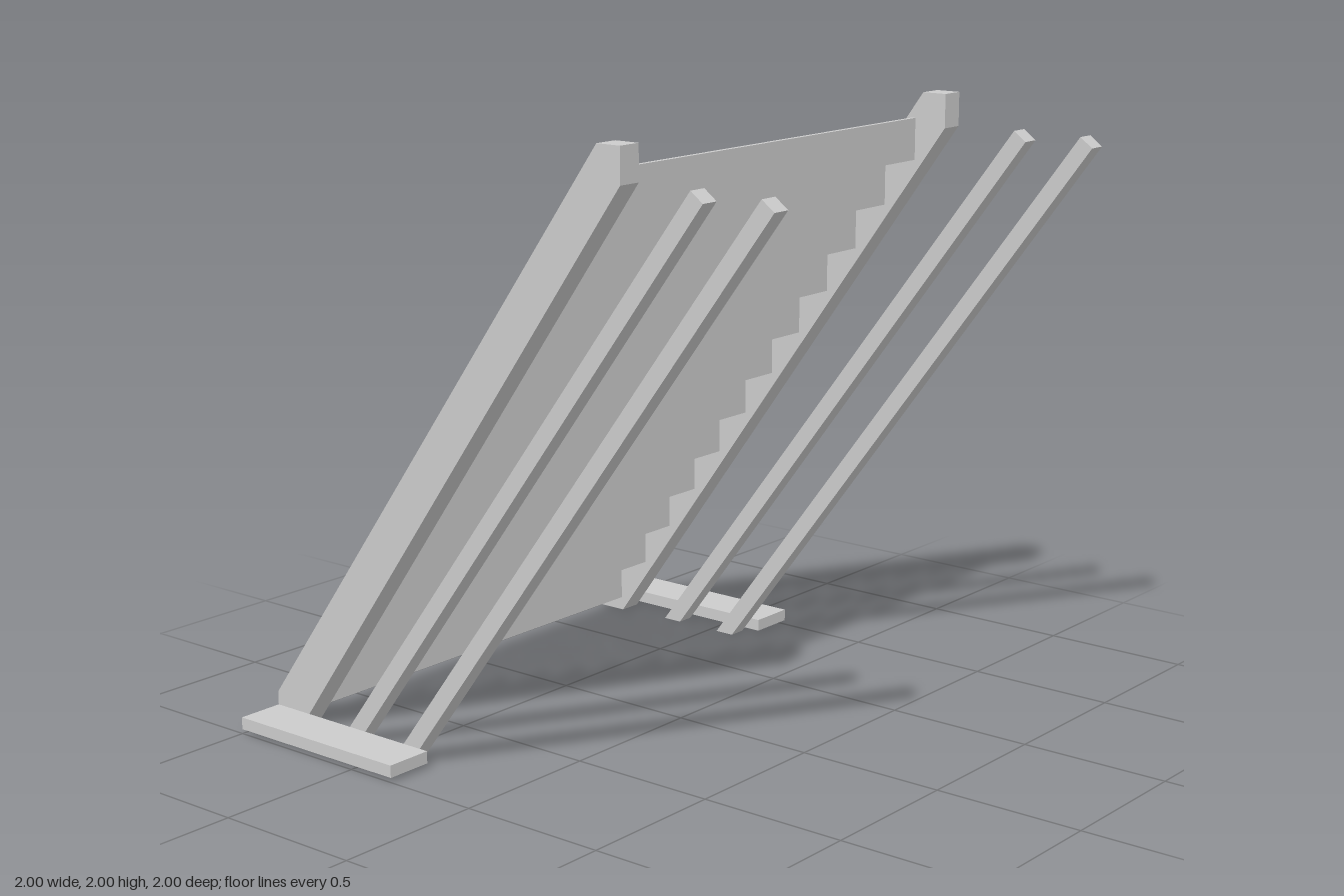
import * as THREE from 'three';

const grey = new THREE.MeshStandardMaterial({ color: 0xcccccc, flatShading: true });

function add(parent, name, geometry) {
  const mesh = new THREE.Mesh(geometry, grey);
  mesh.name = name;
  parent.add(mesh);
  return mesh;
}

// Side profile given as [z, y] corners, extruded across x from x0 to x1
function sideProfile(points, x0, x1) {
  const shape = new THREE.Shape(points.map(([z, y]) => new THREE.Vector2(z, y)));
  const geometry = new THREE.ExtrudeGeometry(shape, { depth: x1 - x0, bevelEnabled: false });
  return geometry.rotateY(-Math.PI / 2).translate(x1, 0, 0);
}

export function createModel() {
  const model = new THREE.Group();
  model.name = 'staircase';

  const stringer = [[-1, 0], [-0.895, 0], [0.47, 1.89], [0.47, 2], [0.385, 2], [-1, 0.1]];
  const rail = [[-0.47, 0], [-0.4, 0], [1, 1.868], [0.957, 1.9]];

  for (const side of [1, -1]) {
    const group = new THREE.Group();
    group.name = side > 0 ? 'leftSide' : 'rightSide';
    model.add(group);
    const across = (points, a, b) =>
      sideProfile(points, Math.min(side * a, side * b), Math.max(side * a, side * b));

    // Broad sloping beam
    add(group, 'stringer', across(stringer, 0.762, 0.842));

    // Two slim rails parallel to it
    [0, -0.24].forEach((dz, i) => {
      const points = rail.map(([z, y]) => [z + dz, y]);
      add(group, i ? 'innerRail' : 'outerRail', across(points, 0.782, 0.842));
    });

    // Foot plate outside the rails
    const plate = add(group, 'footPlate', new THREE.BoxGeometry(0.158, 0.04, 0.673));
    plate.position.set(side * 0.921, 0.035, -0.6635);
  }

  // Upright boards stepping up between the stringers
  const count = 12;
  for (let i = 0; i < count; i++) {
    const t = i / (count - 1);
    const board = add(model, 'stepBoard', new THREE.BoxGeometry(1.512, 0.136, 0.015));
    board.position.set(0, THREE.MathUtils.lerp(0.117, 1.848, t), THREE.MathUtils.lerp(-0.903, 0.353, t));
  }

  return model;
}
